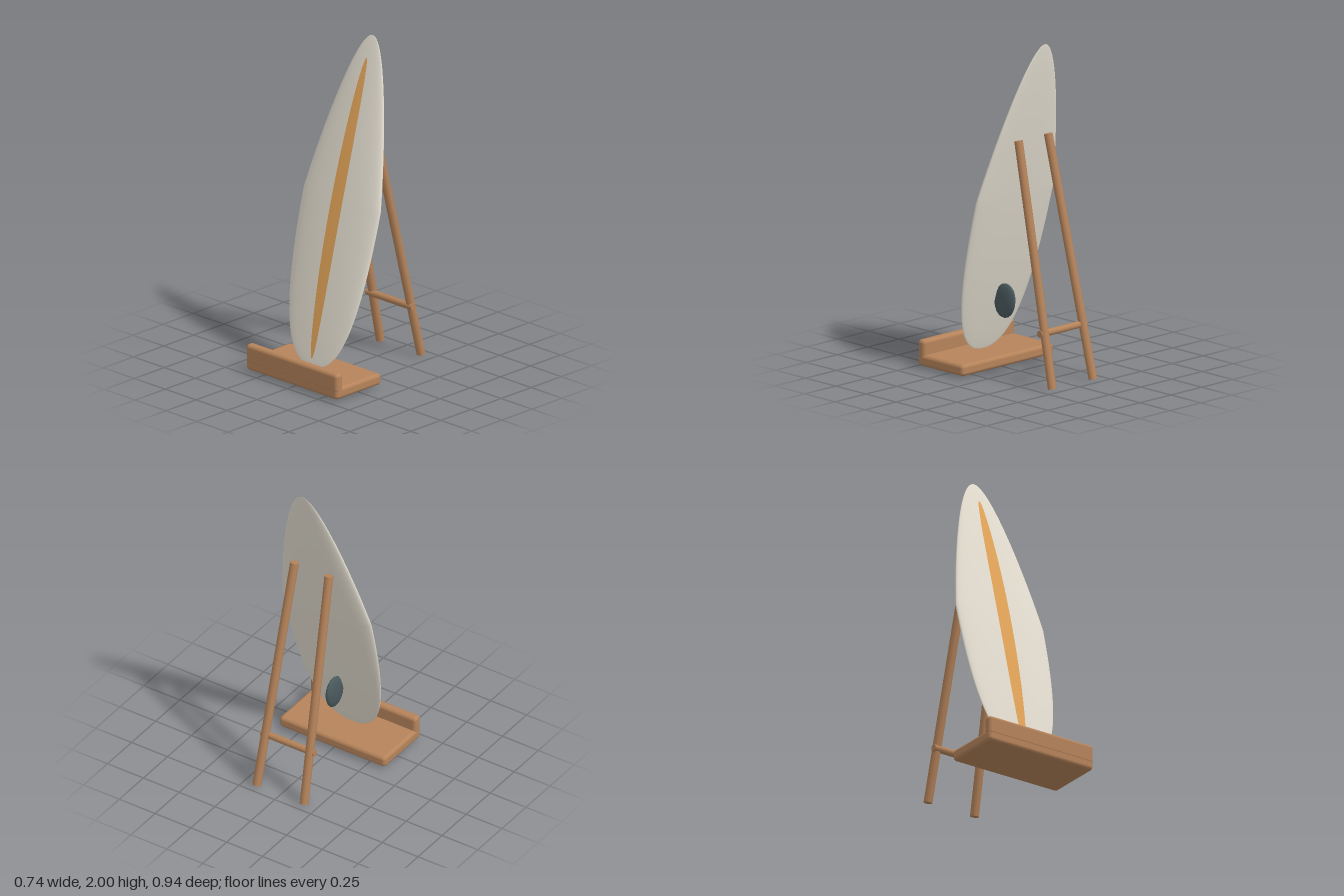
import * as THREE from 'three';
import { RoundedBoxGeometry } from 'three/addons/geometries/RoundedBoxGeometry.js';

const material = (name, color, extra = {}) => {
  const m = new THREE.MeshStandardMaterial({ color, ...extra });
  m.name = name;
  return m;
};

const LENGTH = 1.987, TILT = 0.26, HALF_THICK = 0.042;
const V2 = (x, y) => new THREE.Vector2(x, y);

// Half outline of the board as (half width, distance from tail)
const outline = [
  ...new THREE.CubicBezierCurve(V2(0, 0), V2(0.2, 0), V2(0.31, 0.25), V2(0.31, 1)).getPoints(28),
  ...new THREE.CubicBezierCurve(V2(0.31, 1), V2(0.26, 1.33), V2(0.12, LENGTH), V2(0, LENGTH)).getPoints(28).slice(1),
];
const halfThickness = s => HALF_THICK * Math.pow(Math.max(0, Math.sin(Math.PI * s / LENGTH)), 0.75);
function halfWidth(s) {
  const i = Math.max(1, outline.findIndex(p => p.y >= s));
  const a = outline[i - 1], b = outline[i];
  return THREE.MathUtils.lerp(a.x, b.x, (s - a.y) / (b.y - a.y));
}

// Surface from rows of points; closed joins the last column to the first
function gridGeometry(rows, closed) {
  const n = rows[0].length, index = [];
  for (let r = 0; r < rows.length - 1; r++) {
    for (let c = 0; c < (closed ? n : n - 1); c++) {
      const d = (c + 1) % n, lo = r * n, hi = lo + n;
      index.push(lo + c, hi + c, lo + d, hi + c, hi + d, lo + d);
    }
  }
  const g = new THREE.BufferGeometry();
  g.setAttribute('position', new THREE.Float32BufferAttribute(rows.flat(2), 3));
  g.setIndex(index);
  g.computeVertexNormals();
  return g;
}

function boardGeometry() {
  const sides = 40;
  return gridGeometry(outline.map(p => Array.from({ length: sides }, (_, i) => {
    const a = i / sides * Math.PI * 2;
    return [p.x * Math.cos(a), p.y, halfThickness(p.y) * Math.sin(a)];
  })), true);
}

// Slim ellipse lying on the front face
function stripeGeometry() {
  const rows = [], steps = 48, cols = 6;
  for (let r = 0; r <= steps; r++) {
    const a = r / steps * Math.PI;
    const s = 0.95 - 0.9 * Math.cos(a), w = 0.045 * Math.sin(a);
    rows.push(Array.from({ length: cols + 1 }, (_, c) => {
      const x = w * (1 - 2 * c / cols);
      const k = Math.min(1, x / halfWidth(s));
      return [x, s, halfThickness(s) * Math.sqrt(1 - k * k) + 0.004];
    }));
  }
  return gridGeometry(rows, false);
}

// Round bar between two points
function bar(name, from, to, radius, mat) {
  const a = new THREE.Vector3(...from), b = new THREE.Vector3(...to);
  const dir = b.clone().sub(a);
  const mesh = new THREE.Mesh(new THREE.CylinderGeometry(radius, radius, dir.length(), 12), mat);
  mesh.name = name;
  mesh.position.copy(a).add(b).multiplyScalar(0.5);
  mesh.quaternion.setFromUnitVectors(new THREE.Vector3(0, 1, 0), dir.normalize());
  return mesh;
}

export function createModel() {
  const model = new THREE.Group();
  model.name = 'surfboardOnStand';
  const wood = material('wood', 0xb5835a);
  const cream = material('cream', 0xe6e0d2);
  const amber = material('amber', 0xe5a65a, { side: THREE.DoubleSide });
  const slate = material('slate', 0x4a5a5e);

  const add = (parent, name, geometry, mat, x = 0, y = 0, z = 0) => {
    const mesh = new THREE.Mesh(geometry, mat);
    mesh.name = name;
    mesh.position.set(x, y, z);
    parent.add(mesh);
    return mesh;
  };

  // Leaning board with stripe and fin
  const board = new THREE.Group();
  board.name = 'surfboard';
  board.position.set(0, 0.08, 0.3);
  board.rotation.x = -TILT;
  add(board, 'boardBody', boardGeometry(), cream);
  add(board, 'centreStripe', stripeGeometry(), amber);
  const fin = add(board, 'fin', new THREE.SphereGeometry(1, 12, 10), slate, 0, 0.355, -0.092);
  fin.scale.set(0.024, 0.106, 0.085);
  model.add(board);

  // Base tray and front lip
  add(model, 'baseTray', new RoundedBoxGeometry(0.74, 0.07, 0.375, 3, 0.022), wood, 0, 0.048, 0.28);
  add(model, 'frontLip', new RoundedBoxGeometry(0.74, 0.12, 0.058, 3, 0.022), wood, 0, 0.111, 0.44);

  // Splayed rear legs and crossbar
  for (const side of [1, -1]) {
    model.add(bar(side > 0 ? 'leftLeg' : 'rightLeg',
      [side * 0.165, 0.006, -0.441], [side * 0.12, 1.425, -0.116], 0.026, wood));
  }
  model.add(bar('crossbar', [-0.186, 0.322, -0.357], [0.186, 0.322, -0.357], 0.021, wood));
  return model;
}
